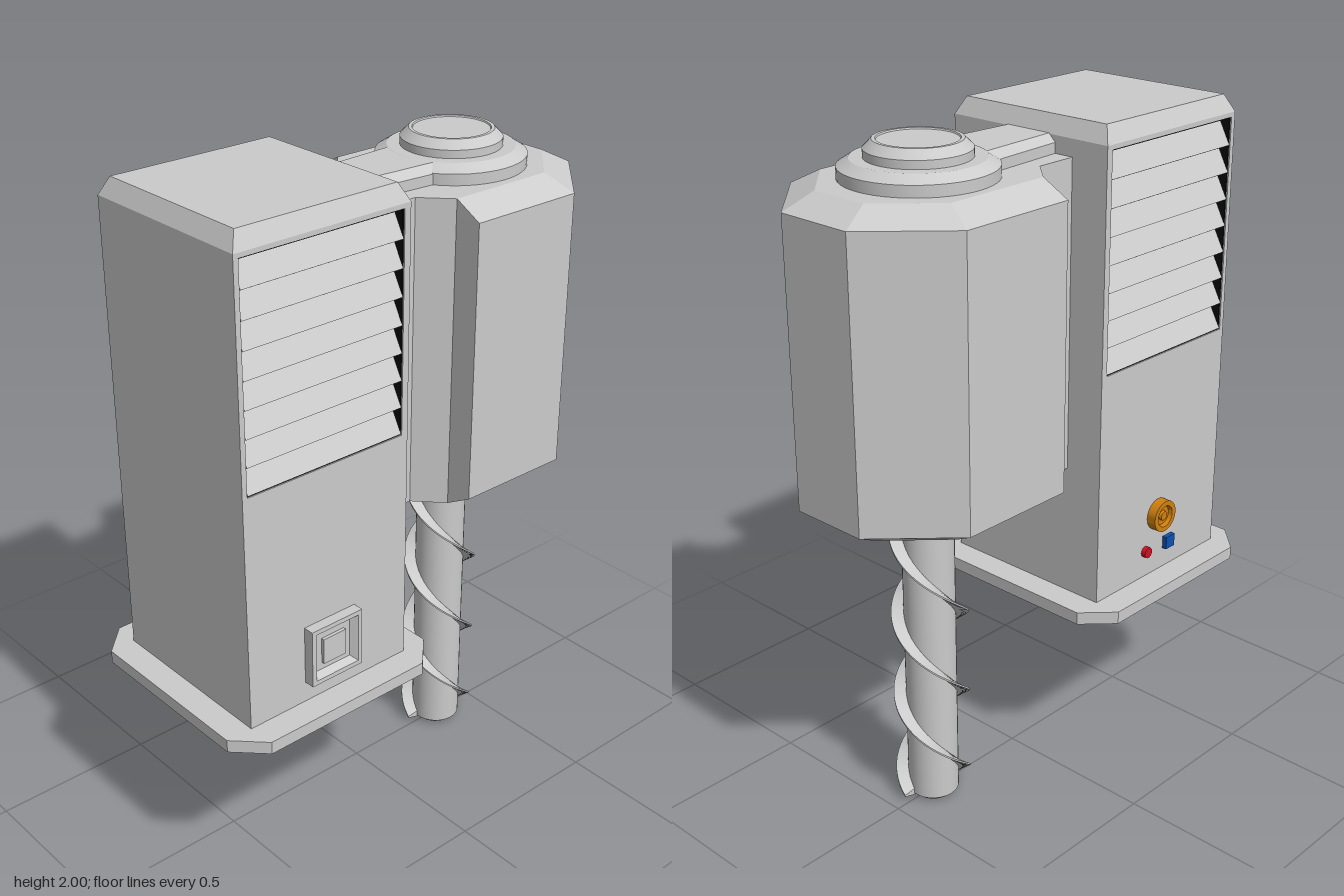
import * as THREE from 'three';
import { toCreasedNormals } from 'three/addons/utils/BufferGeometryUtils.js';

const paint = (color) => new THREE.MeshStandardMaterial({ color });
const grey = paint(0xcccccc);
const dark = paint(0x0a0a0a);

const DRILL_Z = -0.35;

function add(parent, name, geometry, material = grey) {
  const mesh = new THREE.Mesh(geometry, material);
  mesh.name = name;
  parent.add(mesh);
  return mesh;
}

// Closes a half outline (x > 0, front to back) into a symmetric one
const mirrored = (half) => [...half, ...half.map(([x, z]) => [-x, z]).reverse()];

// Faceted solid through horizontal rings [y, [[x, z], ...]], bottom to top
function loft(rings, bottomHole = []) {
  const pos = [];
  const put = (y, p) => pos.push(p[0], y, p[1]);
  for (let r = 0; r < rings.length - 1; r++) {
    const [y0, a] = rings[r], [y1, b] = rings[r + 1];
    a.forEach((p, i) => {
      const j = (i + 1) % a.length;
      put(y0, p); put(y0, a[j]); put(y1, b[j]);
      put(y0, p); put(y1, b[j]); put(y1, b[i]);
    });
  }
  const cap = ([y, pts], hole, up) => {
    const v = (p) => new THREE.Vector2(p[0], -p[1]);
    const all = [...pts, ...hole];
    const tris = THREE.ShapeUtils.triangulateShape(pts.map(v), hole.length ? [hole.map(v)] : []);
    for (const t of tris) (up ? t : [...t].reverse()).forEach((k) => put(y, all[k]));
  };
  cap(rings[0], bottomHole, false);
  cap(rings[rings.length - 1], [], true);
  const g = new THREE.BufferGeometry();
  g.setAttribute('position', new THREE.Float32BufferAttribute(pos, 3));
  g.computeVertexNormals();
  return g;
}

function rect(Type, z0, z1, y0, y1) {
  const s = new Type();
  s.moveTo(-z1, y0).lineTo(-z0, y0).lineTo(-z0, y1).lineTo(-z1, y1).closePath();
  return s;
}

// Rectangular tube across the cabinet; outer and inner are [z0, z1, y0, y1]
function tube(outer, inner, width) {
  const shape = rect(THREE.Shape, ...outer);
  shape.holes.push(rect(THREE.Path, ...inner));
  return new THREE.ExtrudeGeometry(shape, { depth: width, bevelEnabled: false })
    .translate(0, 0, -width / 2).rotateY(Math.PI / 2);
}

const lathe = (points, segments = 48) => toCreasedNormals(
  new THREE.LatheGeometry(points.map(([r, y]) => new THREE.Vector2(r, y)), segments), 0.5);

// Spiral blade with a tapered cross-section, winding up the shaft
function bladeGeometry(phase) {
  const steps = 150, pitch = 0.536, y0 = 0.02, y1 = 1.02;
  const section = [[0.065, -0.013], [0.112, -0.003], [0.112, 0.003], [0.065, 0.013]];
  const pos = [], index = [0, 2, 1, 0, 3, 2];
  for (let i = 0; i <= steps; i++) {
    const y = y0 + (y1 - y0) * i / steps;
    const a = 2 * Math.PI * (y - 0.147) / pitch + phase;
    for (const [r, dy] of section) pos.push(r * Math.cos(a), y + dy, r * Math.sin(a));
    if (i === steps) break;
    for (let k = 0; k < 4; k++) {
      const p = i * 4 + k, q = i * 4 + (k + 1) % 4;
      index.push(p, q, p + 4, q, q + 4, p + 4);
    }
  }
  const g = new THREE.BufferGeometry();
  g.setAttribute('position', new THREE.Float32BufferAttribute(pos, 3));
  g.setIndex(index);
  return toCreasedNormals(g, 0.5);
}

function buildCabinet() {
  const group = new THREE.Group();
  group.name = 'cabinet';

  // Chamfered foot plate
  const plate = mirrored([[0.279, 0.71], [0.365, 0.624], [0.365, 0.066], [0.279, -0.02]]);
  add(group, 'basePlate', loft([[0.542, plate], [0.581, plate]]));

  // Tall case with a vent opening through both sides
  const opening = [0.085, 0.613, 1.296, 1.936];
  add(group, 'caseShell', tube([0.064, 0.629, 0.58, 1.95], opening, 0.564));
  const low = mirrored([[0.282, 0.629], [0.282, 0.064]]);
  const high = mirrored([[0.257, 0.604], [0.257, 0.089]]);
  add(group, 'caseTop', loft([[1.95, low], [2, high]]));

  // Dark vent lining and core, with sloping slats on both sides
  add(group, 'ventLining', tube(opening, [0.088, 0.61, 1.299, 1.933], 0.556), dark);
  add(group, 'ventCore', new THREE.BoxGeometry(0.464, 0.636, 0.524), dark).position.set(0, 1.616, 0.349);
  for (const s of [1, -1]) {
    for (let i = 0; i < 8; i++) {
      const slat = add(group, 'ventSlat', new THREE.BoxGeometry(0.004, 0.082, 0.522));
      slat.position.set(s * 0.26, 1.335 + i * 0.0794, 0.349);
      slat.rotation.z = s * 0.5;
    }
  }
  return group;
}

function buildControls() {
  const group = new THREE.Group();
  group.name = 'controls';

  // Square socket on the left side: a four-sided lathe, radii given as half widths
  const profile = [[0.09, 0], [0.09, 0.033], [0.076, 0.033], [0.062, 0.012], [0.04, 0.012],
    [0.04, 0.022], [0, 0.022]].map(([r, y]) => [r * Math.SQRT2, y]);
  const socket = add(group, 'socket', lathe(profile, 4).rotateY(Math.PI / 4));
  socket.position.set(0.282, 0.735, 0.346);
  socket.rotation.z = -Math.PI / 2;

  // Dial and two small buttons on the right side
  const dial = add(group, 'dial', lathe([
    [0.05, 0], [0.05, 0.03], [0.034, 0.03], [0.03, 0.018], [0.016, 0.018],
    [0.014, 0.026], [0, 0.026]], 32), paint(0xd08010));
  dial.position.set(-0.282, 0.775, 0.344);
  dial.rotation.z = Math.PI / 2;
  const red = add(group, 'redButton', new THREE.CylinderGeometry(0.017, 0.017, 0.016, 20), paint(0xd01020));
  red.position.set(-0.289, 0.666, 0.288);
  red.rotation.z = Math.PI / 2;
  add(group, 'blueButton', new THREE.BoxGeometry(0.016, 0.04, 0.04), paint(0x1050b0))
    .position.set(-0.289, 0.665, 0.395);
  return group;
}

function buildDrillHead() {
  const group = new THREE.Group();
  group.name = 'drillHead';

  // Faceted housing with a neck to the cabinet; only the outer sides are bevelled
  const neck = [[0.16, 0.07], [0.16, -0.065], [0.24, -0.14]];
  const outer = mirrored([...neck, [0.325, -0.14], [0.325, -0.507], [0.12, -0.71]]);
  const inner = mirrored([...neck, [0.2401, -0.1401], [0.24, -0.475], [0.09, -0.624]]);
  const hole = Array.from({ length: 32 }, (_, i) => {
    const a = i / 32 * Math.PI * 2;
    return [0.105 * Math.cos(a), DRILL_Z + 0.105 * Math.sin(a)];
  });
  add(group, 'housing', loft([[0.983, inner], [1.031, outer], [1.855, outer], [1.9, inner]], hole));
  add(group, 'drillOpening', lathe([[0, 1.09], [0.105, 1.09], [0.105, 0.983]], 32))
    .position.z = DRILL_Z;

  // Top arm, collar and cap
  const armLow = mirrored([[0.098, 0.07], [0.118, -0.21]]);
  const armHigh = mirrored([[0.075, 0.07], [0.092, -0.21]]);
  add(group, 'topArm', loft([[1.89, armLow], [1.93, armLow], [1.952, armHigh]]));
  add(group, 'collar', lathe([[0.213, 1.89], [0.213, 1.932], [0.18, 1.953], [0.12, 1.953]]))
    .position.z = DRILL_Z;
  add(group, 'topCap', lathe([[0.144, 1.945], [0.144, 1.976],
    [0.12, 2], [0.11, 2], [0.108, 1.996], [0, 1.996]])).position.z = DRILL_Z;

  // Drill shaft with two spiral blades
  const drill = new THREE.Group();
  drill.name = 'drill';
  drill.position.z = DRILL_Z;
  add(drill, 'shaft', lathe([[0, 0], [0.06, 0], [0.076, 0.014], [0.076, 1.085]], 32));
  for (const phase of [0, Math.PI]) add(drill, 'spiralBlade', bladeGeometry(phase));
  group.add(drill);
  return group;
}

export function createModel() {
  const model = new THREE.Group();
  model.name = 'drillingMachine';
  model.add(buildCabinet(), buildControls(), buildDrillHead());
  return model;
}
